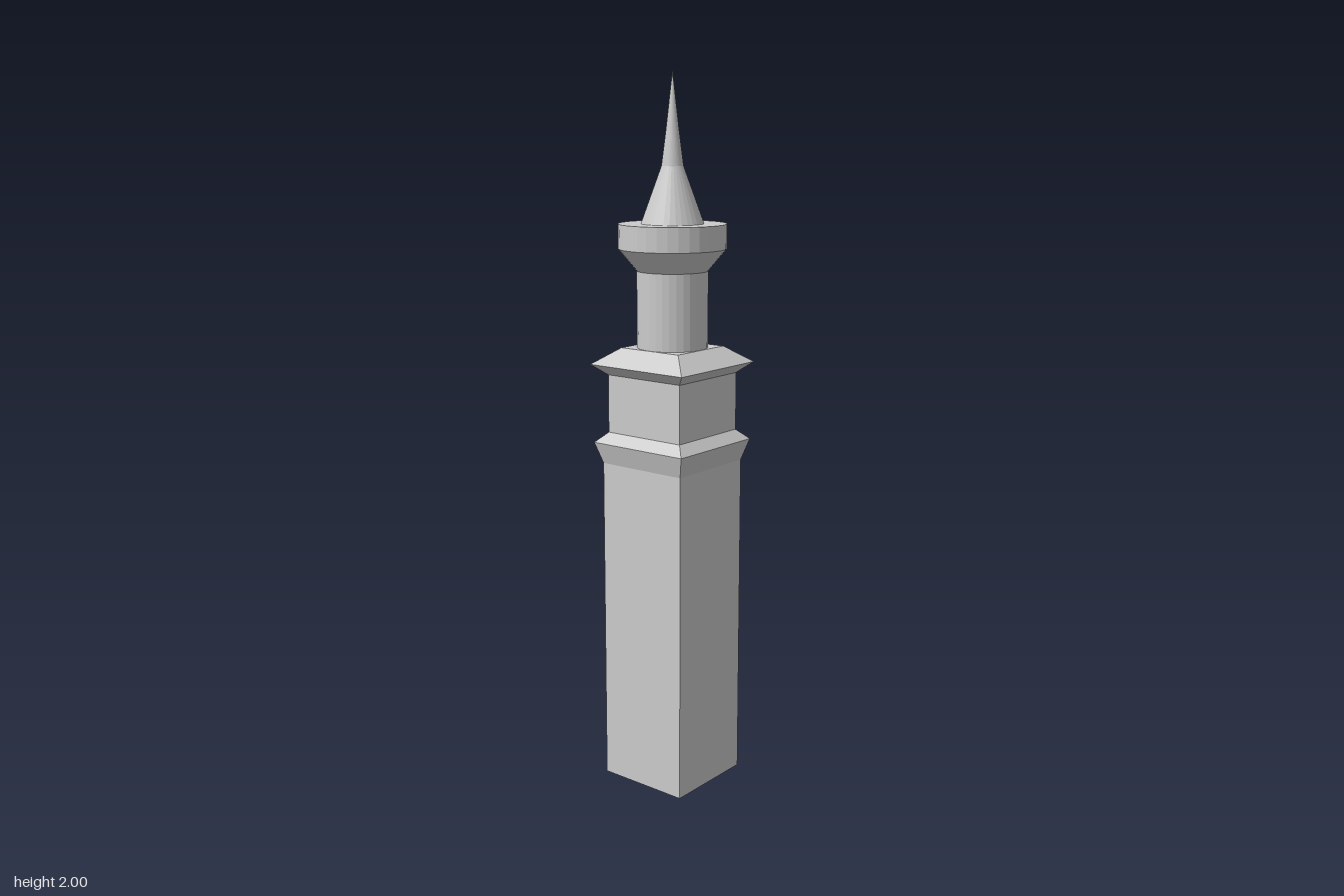
import * as THREE from 'three';

const material = new THREE.MeshStandardMaterial({ color: 0xcccccc, flatShading: true });

// Revolve a [halfWidth, y] profile; four sides give a square section
function turned(name, profile, sides) {
  const square = sides === 4;
  const k = square ? Math.SQRT2 : 1;
  const points = profile.map(([r, y]) => new THREE.Vector2(r * k, y));
  const geometry = new THREE.LatheGeometry(points, sides, square ? Math.PI / 4 : 0);
  const mesh = new THREE.Mesh(geometry, material);
  mesh.name = name;
  return mesh;
}

export function createModel() {
  const tower = new THREE.Group();
  tower.name = 'tower';

  tower.add(
    // Square shaft with its closed underside
    turned('shaft', [[0, 0], [0.137, 0], [0.137, 0.935]], 4),
    // Flared ledge, sloping back to the upper block
    turned('lowerLedge', [[0.137, 0.935], [0.155, 0.995], [0.126, 1.023]], 4),
    turned('upperBlock', [[0.126, 1.023], [0.126, 1.185]], 4),
    // Overhanging cornice with a hipped, flat-topped roof
    turned('cornice', [[0.126, 1.185], [0.161, 1.215], [0.1, 1.26], [0, 1.26]], 4),
    // Round turret and its corbelled balcony
    turned('turret', [[0.098, 1.26], [0.098, 1.47]], 32),
    turned('balcony', [[0.098, 1.47], [0.148, 1.53], [0.148, 1.597], [0, 1.597]], 32),
    // Concave needle spire
    turned('spire', [[0.086, 1.597], [0.03, 1.75], [0.017, 1.85], [0, 2]], 32),
  );

  return tower;
}
